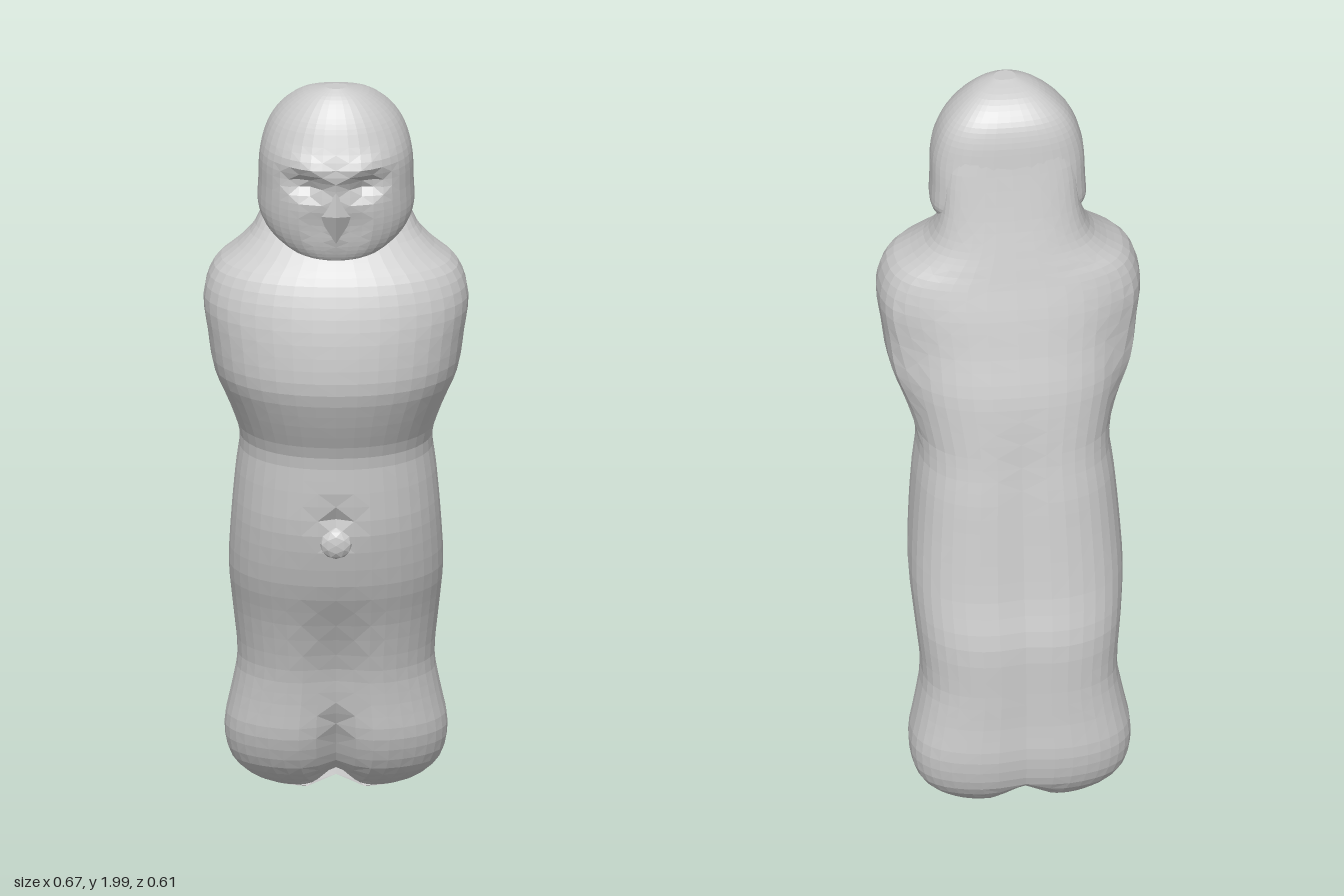
import * as THREE from 'three';

const SEG = 40;
const stone = new THREE.MeshStandardMaterial({ color: 0xcccccc, flatShading: true });

const bell = (d, width) => Math.exp(-(d * d) / (width * width));
const fade = THREE.MathUtils.smoothstep;

// Catmull-Rom between rows of numbers
function blend(rows, steps) {
  const out = [];
  const at = i => rows[THREE.MathUtils.clamp(i, 0, rows.length - 1)];
  for (let i = 0; i < rows.length - 1; i++) {
    for (let s = 0; s < steps; s++) {
      const t = s / steps;
      out.push(at(i).map((b, k) => {
        const a = at(i - 1)[k], c = at(i + 1)[k], d = at(i + 2)[k];
        return b + 0.5 * t * (c - a + t * (2 * a - 5 * b + 4 * c - d + t * (3 * (b - c) + d - a)));
      }));
    }
  }
  out.push(rows[rows.length - 1]);
  return out;
}

// Closed skin over rows of [y, half width, front z, back z]; the back is squarer than the front
function loft(rows, steps, backPower, widest, sculpt) {
  const rings = blend(rows, steps);
  const pos = [], index = [];
  const add = (x, y, z) => {
    const p = new THREE.Vector3(x, y, z);
    sculpt(p);
    pos.push(p.x, p.y, p.z);
  };
  for (const [y, w, zf, zb] of rings) {
    const zc = zb + (zf - zb) * widest;
    for (let j = 0; j < SEG; j++) {
      const a = (j / SEG) * Math.PI * 2;
      const c = Math.cos(a), s = Math.sin(a);
      const e = 2 / (s > 0 ? 2.15 : backPower);
      const x = w * Math.sign(c) * Math.abs(c) ** e;
      const z = zc + (s > 0 ? zf - zc : zc - zb) * Math.sign(s) * Math.abs(s) ** e;
      add(x, y, z);
    }
  }
  for (let i = 0; i < rings.length - 1; i++) {
    for (let j = 0; j < SEG; j++) {
      const k = (j + 1) % SEG;
      const a = i * SEG + j, b = i * SEG + k, c = a + SEG, d = b + SEG;
      if ((i + j) % 2) index.push(a, c, b, b, c, d);
      else index.push(a, c, d, a, d, b);
    }
  }
  // end caps
  const bottom = rings.length * SEG, top = bottom + 1, last = (rings.length - 1) * SEG;
  for (const r of [rings[0], rings[rings.length - 1]]) add(0, r[0], (r[2] + r[3]) / 2);
  for (let j = 0; j < SEG; j++) {
    const k = (j + 1) % SEG;
    index.push(bottom, j, k, top, last + k, last + j);
  }
  const g = new THREE.BufferGeometry();
  g.setAttribute('position', new THREE.Float32BufferAttribute(pos, 3));
  g.setIndex(index);
  g.computeVertexNormals();
  return g;
}

function part(name, geometry, parent) {
  const m = new THREE.Mesh(geometry, stone);
  m.name = name;
  parent.add(m);
  return m;
}

// Wrapped body: feet, legs, belly, folded arms, shoulders and neck
const bodyRows = [
  [0.005, 0.10, -0.12, -0.2],
  [0.03, 0.20, -0.08, -0.245],
  [0.09, 0.265, -0.02, -0.29],
  [0.18, 0.283, 0.02, -0.308],
  [0.28, 0.265, 0.035, -0.304],
  [0.38, 0.25, 0.055, -0.302],
  [0.52, 0.262, 0.1, -0.298],
  [0.65, 0.272, 0.155, -0.27],
  [0.8, 0.265, 0.197, -0.247],
  [0.92, 0.255, 0.208, -0.23],
  [1.02, 0.245, 0.217, -0.212],
  [1.12, 0.272, 0.265, -0.196],
  [1.22, 0.31, 0.305, -0.178],
  [1.32, 0.325, 0.306, -0.15],
  [1.42, 0.336, 0.29, -0.124],
  [1.5, 0.31, 0.262, -0.1],
  [1.55, 0.25, 0.225, -0.086],
  [1.6, 0.205, 0.18, -0.072],
  [1.68, 0.178, 0.12, -0.05],
  [1.8, 0.165, 0.1, -0.022],
  [1.9, 0.13, 0.1, -0.002],
];

function sculptBody(p) {
  const mid = p.y > 1 ? 0.05 : -0.13 + 0.12 * fade(p.y, 0.3, 0.8);
  if (p.z > mid) {
    // valley between the legs, deepest at the feet
    p.z -= 0.035 * bell(p.x, 0.075) * (1 - fade(p.y, 0.35, 0.65));
    p.z -= 0.04 * bell(p.x, 0.035) * (1 - fade(p.y, 0.15, 0.3));
    // navel hollow
    p.z -= 0.025 * bell(p.x, 0.035) * bell(p.y - 0.84, 0.035);
  } else {
    // shallow furrow down the back
    p.z += 0.014 * bell(p.x, 0.06) * (1 - fade(p.y, 0.9, 1.2));
  }
  // cleft under the feet
  p.y += 0.03 * bell(p.x, 0.05) * (1 - fade(p.y, 0.02, 0.1));
  // elbows stand out from the flatter back
  if (p.y > 1.02 && p.y < 1.55 && p.z < -0.03) {
    p.x *= 1 - 0.1 * fade(-p.z, 0.03, 0.1) * bell(p.y - 1.32, 0.2);
  }
}

// Head: the jaw rises towards the back
const headRows = [
  [1.545, 0.06, 0.2, 0.1],
  [1.56, 0.12, 0.222, 0.05],
  [1.6, 0.175, 0.24, 0.0],
  [1.66, 0.198, 0.258, -0.03],
  [1.74, 0.197, 0.27, -0.03],
  [1.82, 0.193, 0.274, -0.018],
  [1.89, 0.172, 0.25, -0.006],
  [1.94, 0.137, 0.225, 0.015],
  [1.98, 0.085, 0.192, 0.06],
  [2.0, 0.028, 0.162, 0.12],
];

function sculptHead(p) {
  p.y += 0.3 * Math.max(0, 0.2 - p.z) * (1 - fade(p.y, 1.55, 1.72));
  if (p.z < 0.12) return;
  const ax = Math.abs(p.x);
  // eye sockets under slanting brows
  const brow = 1.755 + 0.16 * ax;
  p.z -= 0.04 * bell(ax - 0.075, 0.042) * bell(p.y - brow, 0.028);
  p.z += 0.012 * bell(ax - 0.07, 0.06) * bell(p.y - brow - 0.055, 0.025);
  // cheeks fall away beside the beak
  p.z -= 0.012 * bell(ax - 0.05, 0.03) * bell(p.y - 1.66, 0.05);
}

// Beak: a faceted wedge, five points mirrored about the middle
function beakGeometry() {
  const v = [0, 1.78, 0.26, 0, 1.70, 0.295, 0, 1.615, 0.255,
    0.045, 1.685, 0.245, -0.045, 1.685, 0.245, 0, 1.69, 0.2];
  const g = new THREE.BufferGeometry();
  g.setAttribute('position', new THREE.Float32BufferAttribute(v, 3));
  g.setIndex([0, 1, 3, 1, 2, 3, 0, 4, 1, 1, 4, 2, 0, 3, 5, 3, 2, 5, 0, 5, 4, 4, 5, 2]);
  g.computeVertexNormals();
  return g;
}

export function createModel() {
  const model = new THREE.Group();
  model.name = 'figurine';
  part('body', loft(bodyRows, 3, 2.7, 0.5, sculptBody), model);

  const head = new THREE.Group();
  head.name = 'head';
  model.add(head);
  part('skull', loft(headRows, 4, 2.7, 0.4, sculptHead), head);
  part('beak', beakGeometry(), head);

  // navel bump below its hollow
  const navel = part('navel', new THREE.IcosahedronGeometry(0.042, 1), model);
  navel.scale.z = 0.5;
  navel.position.set(0, 0.78, 0.186);
  return model;
}
